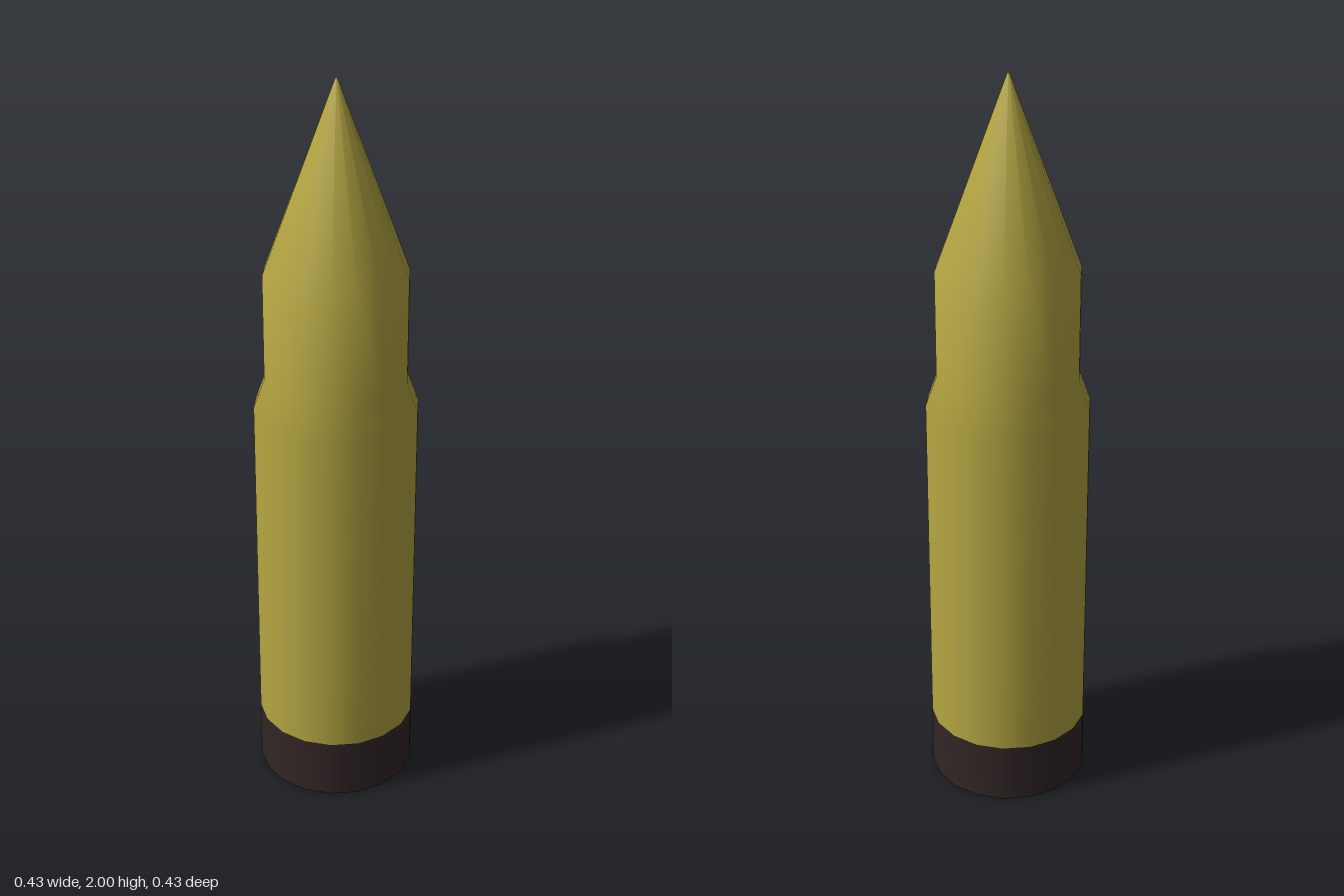
import * as THREE from 'three';

const SIDES = 18;
const START = Math.PI / 2; // puts a corner on the +x axis
const RADIUS = 0.217;
const BASE_HEIGHT = 0.17;

export function createModel() {
  const brass = new THREE.MeshStandardMaterial({ color: 0xb5a642 });
  brass.name = 'brass';
  const darkBrown = new THREE.MeshStandardMaterial({ color: 0x332626 });
  darkBrown.name = 'dark brown';

  const model = new THREE.Group();
  model.name = 'cartridge';

  // Body, shoulder, neck and pointed tip as one smooth turned profile
  const profile = [
    [RADIUS, BASE_HEIGHT],
    [RADIUS, 1.12],
    [0.188, 1.2],
    [0.188, 1.49],
    [0, 2],
  ].map(([r, y]) => new THREE.Vector2(r, y));
  const body = new THREE.Mesh(new THREE.LatheGeometry(profile, SIDES, START), brass);
  body.name = 'casingAndTip';
  model.add(body);

  // Dark band with a flat underside
  const base = new THREE.Mesh(
    new THREE.CylinderGeometry(RADIUS, RADIUS, BASE_HEIGHT, SIDES, 1, false, START),
    darkBrown
  );
  base.name = 'base';
  base.position.y = BASE_HEIGHT / 2;
  model.add(base);

  return model;
}
